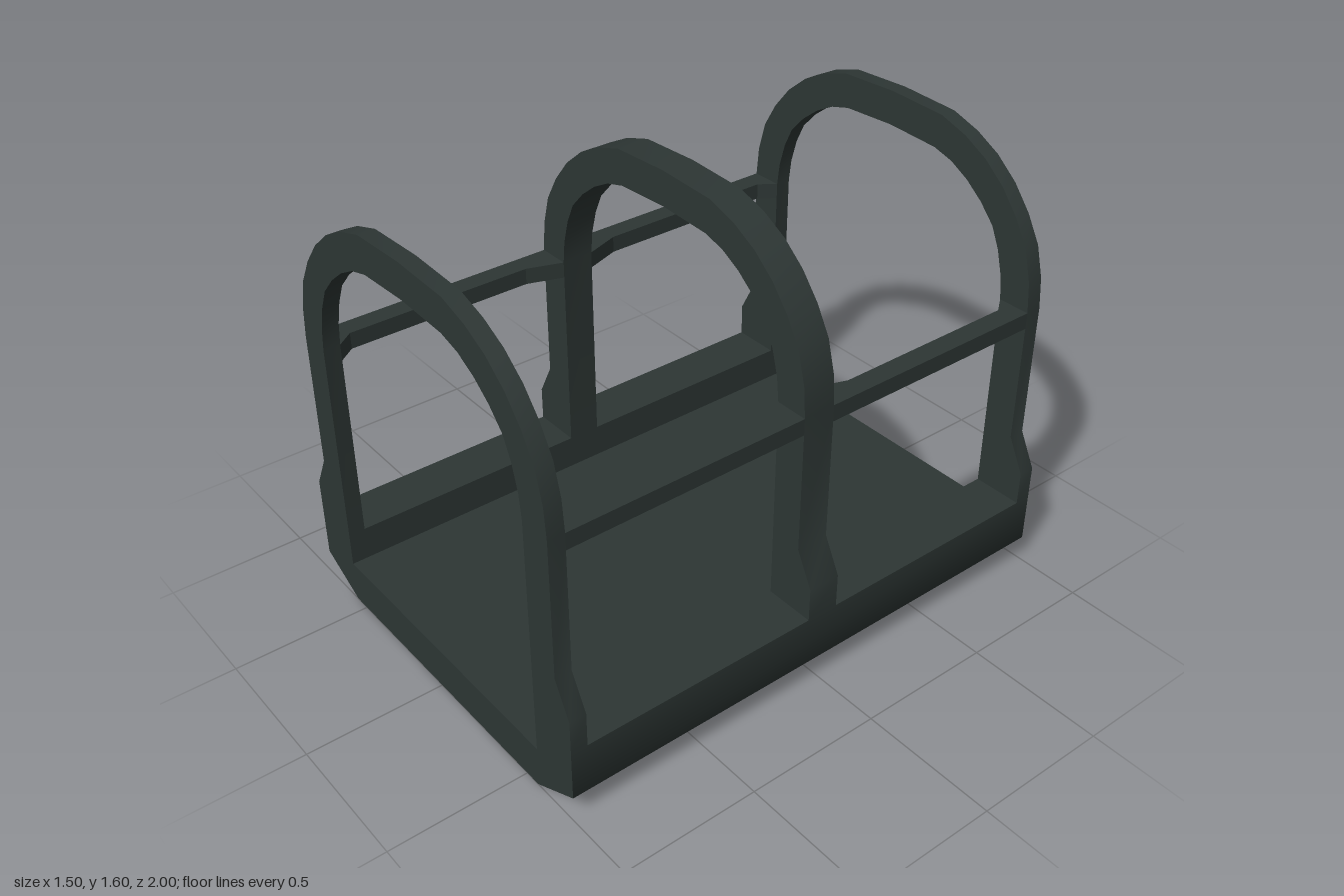
import * as THREE from 'three';
import { toCreasedNormals } from 'three/addons/utils/BufferGeometryUtils.js';

const frameMaterial = new THREE.MeshStandardMaterial({ color: 0x2d3634 });
frameMaterial.name = 'dark green grey';

// Half outlines (+x side), mirrored into full symmetric shapes
const mirrored = (pts) => [
  ...pts,
  ...pts.filter(([x]) => x !== 0).reverse().map(([x, y]) => [-x, y]),
];
const toShape = (pts) => new THREE.Shape(pts.map(([x, y]) => new THREE.Vector2(x, y)));

// Extrude a cross-section along z, softening the shallow corners
function extrudeZ(name, pts, z0, z1) {
  const geo = new THREE.ExtrudeGeometry(toShape(pts), { depth: z1 - z0, bevelEnabled: false });
  geo.translate(0, 0, z0);
  const mesh = new THREE.Mesh(toCreasedNormals(geo, THREE.MathUtils.degToRad(70)), frameMaterial);
  mesh.name = name;
  return mesh;
}

const SILL = 0.28, INNER = 0.565, OUTER = 0.685, WIDE = 0.75;

export function createModel() {
  const model = new THREE.Group();
  model.name = 'hoopedFrame';

  // Tray: floor, chamfered underside and raised sills
  const tray = mirrored([[0.56, 0], [WIDE, 0.097], [WIDE, SILL], [INNER, SILL], [INNER, 0.155]]);
  model.add(extrudeZ('floorTray', tray, -1, 1));

  // Three hoops standing on the sills
  const outer = mirrored([
    [WIDE, SILL], [WIDE, 0.405], [OUTER, 0.53], [OUTER, 1.03], [0.675, 1.14], [0.645, 1.25],
    [0.59, 1.345], [0.52, 1.43], [0.435, 1.5], [0.34, 1.55], [0.23, 1.585], [0, 1.595],
  ]);
  const inner = mirrored([
    [INNER, SILL], [INNER, 1.03], [0.555, 1.115], [0.53, 1.205], [0.495, 1.28],
    [0.435, 1.345], [0.365, 1.4], [0.29, 1.44], [0.21, 1.462], [0, 1.472],
  ]).reverse();
  const arch = [...outer, ...inner];
  model.add(extrudeZ('rearHoop', arch, -1, -0.94));
  model.add(extrudeZ('middleHoop', arch, -0.06, 0.06));
  model.add(extrudeZ('frontHoop', arch, 0.94, 1));

  // Side rails, flared inwards where they meet the hoops
  for (const sx of [-1, 1]) {
    for (const sz of [-1, 1]) {
      const plan = [
        [OUTER, 0.06], [OUTER, 0.94], [INNER, 0.94], [0.61, 0.88], [0.61, 0.19], [INNER, 0.06],
      ].map(([x, z]) => [x * sx, -z * sz]);
      const geo = new THREE.ExtrudeGeometry(toShape(plan), { depth: 0.06, bevelEnabled: false });
      geo.rotateX(-Math.PI / 2).translate(0, 0.97, 0);
      const rail = new THREE.Mesh(geo, frameMaterial);
      rail.name = `${sz > 0 ? 'front' : 'rear'}${sx > 0 ? 'Left' : 'Right'}Rail`;
      model.add(rail);
    }
  }
  return model;
}
